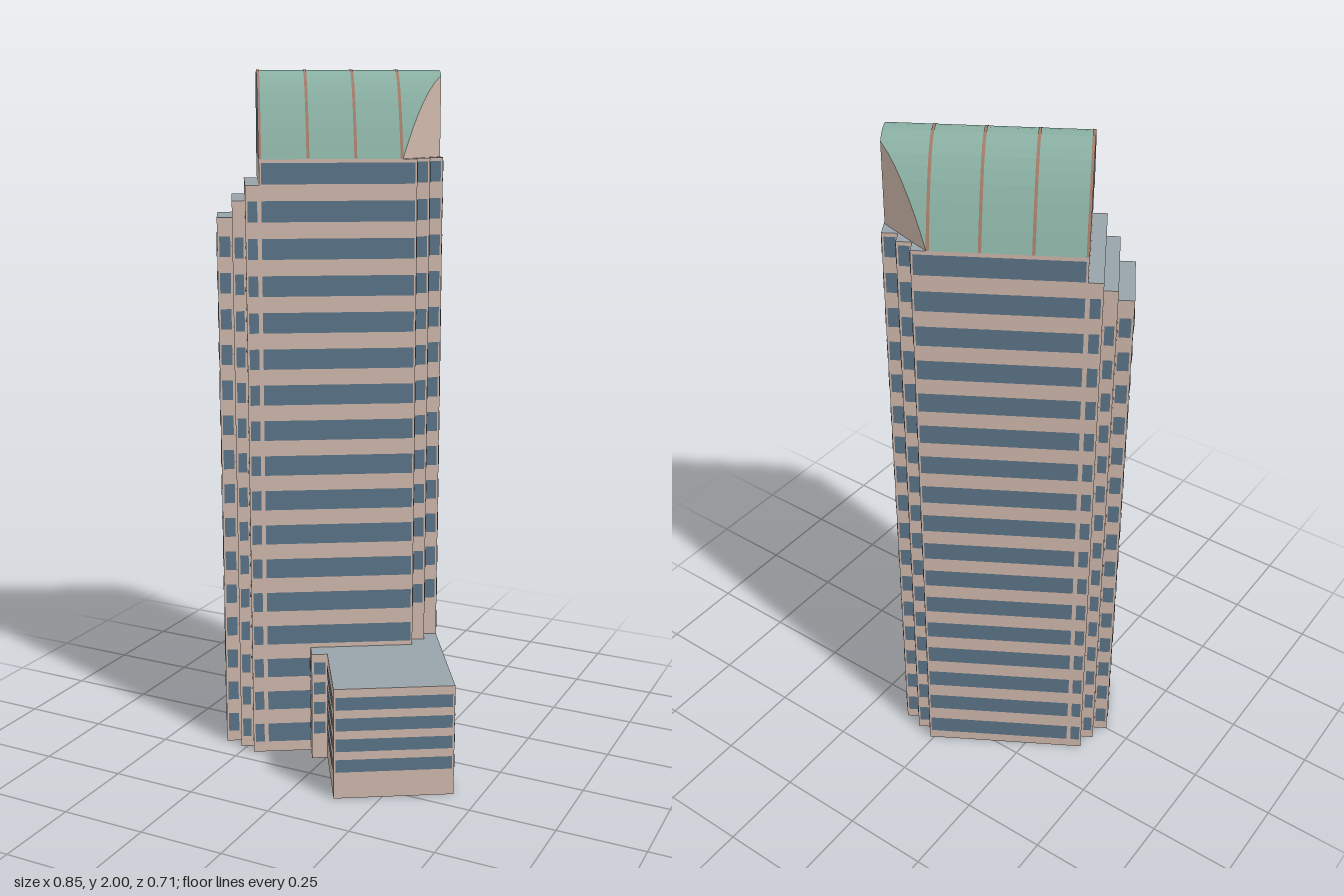
import * as THREE from 'three';

const mat = (color, flatShading = false) =>
  new THREE.MeshStandardMaterial({ color, flatShading, side: THREE.DoubleSide });
const stone = mat(0xd0b8ac), glass = mat(0x5b7488), slab = mat(0x99a3ab);
const copper = mat(0x8ab0a3, true), trim = mat(0xa27b69);

const MID = -0.117;    // centre line of the tower in z
const HALF = 0.182;    // half depth of the tower
const EAVES = 1.76, RIDGE = 2;
const GABLE = -0.248;  // x of the glazed gable

// Mesh from a list of quads, each [a, b, c, d] counter-clockwise from outside
function quadMesh(name, quads, material) {
  const pos = quads.flatMap(([a, b, c, d]) => [a, b, c, a, c, d].flat());
  const g = new THREE.BufferGeometry();
  g.setAttribute('position', new THREE.Float32BufferAttribute(pos, 3));
  g.computeVertexNormals();
  const m = new THREE.Mesh(g, material);
  m.name = name;
  return m;
}

// Upright quad between plan points p and q
const upright = (p, q, y0, y1) =>
  [[p[0], y0, p[1]], [q[0], y0, q[1]], [q[0], y1, q[1]], [p[0], y1, p[1]]];

const edges = (path, closed) => path.slice(0, closed ? undefined : -1)
  .map((p, i) => [p, path[(i + 1) % path.length]]);

// Flat roof over a plan outline
function deck(name, path, y) {
  const g = new THREE.ShapeGeometry(new THREE.Shape(path.map(([x, z]) => new THREE.Vector2(x, -z))));
  g.rotateX(-Math.PI / 2).translate(0, y, 0);
  const m = new THREE.Mesh(g, slab);
  m.name = name;
  return m;
}

// Window strip just proud of the wall from p to q, stopping short of the corners
function strip([p, q], y0, y1) {
  const dx = q[0] - p[0], dz = q[1] - p[1], len = Math.hypot(dx, dz);
  const u = [dx / len, dz / len], inset = 0.006, out = 0.002;
  const at = (b, s) => [b[0] + s * u[0] * inset - u[1] * out, b[1] + s * u[1] * inset + u[0] * out];
  return upright(at(p, 1), at(q, -1), y0, y1);
}

function tower() {
  const group = new THREE.Group();
  group.name = 'tower';
  // Half plan: stepped west end, long side, stepped east end
  const half = [[-0.367, 0.1], [-0.324, 0.1], [-0.324, 0.141], [-0.287, 0.141], [-0.287, HALF],
    [GABLE, HALF], [0.19, HALF], [0.19, 0.141], [0.231, 0.141], [0.231, 0.1], [0.273, 0.1]];
  const outline = (skip) => {
    const h = half.slice(skip);
    return [...h.map(([x, z]) => [x, MID + z]), ...h.reverse().map(([x, z]) => [x, MID - z])];
  };
  // Each level drops one of the west setbacks
  const levels = [[0, 0, 1.595], [2, 1.595, 1.645], [4, 1.645, 1.69], [5, 1.69, EAVES]];
  for (const [skip, y0, y1] of levels) {
    const path = outline(skip);
    group.add(quadMesh('towerWalls', edges(path, true).map(([p, q]) => upright(p, q, y0, y1)), stone));
    group.add(deck('setbackRoof', path, y1));
  }
  // Window bands on every face, up to the top of its setback
  const bands = [];
  for (const e of edges(outline(0), true)) {
    const x = (e[0][0] + e[1][0]) / 2, z = (e[0][1] + e[1][1]) / 2;
    const top = x < -0.325 ? 1.595 : x < -0.288 ? 1.645 : x < GABLE - 0.001 ? 1.69 : EAVES;
    const bottom = x > 0.18 && x < 0.27 && z > -0.05 ? 0.36 : 0;
    for (let i = 0; i < 17; i++) {
      const y = 0.062 + i * 0.1037;
      if (y + 0.029 < top - 0.005 && y - 0.029 > bottom) bands.push(strip(e, y - 0.029, y + 0.029));
    }
  }
  group.add(quadMesh('towerWindows', bands, glass));
  return group;
}

function vault() {
  const group = new THREE.Group();
  group.name = 'vaultedRoof';
  const side = [0.015, 0.034, 0.053, 0.075, 0.095, 0.115, 0.135, 0.15, 0.167, HALF];
  const ts = [...side.map((t) => -t).reverse(), ...side];
  const height = (t) => EAVES + (RIDGE - EAVES) * (1 - Math.max(0, (Math.abs(t) - 0.01) / (HALF - 0.01)) ** 2);
  // East end is cut back at both corners
  const endX = (t) => 0.271 - 0.121 * Math.max(0, (Math.abs(t) - 0.053) / (HALF - 0.053));
  const skin = [], end = [], gable = [], ribs = [];
  for (let i = 0; i < ts.length - 1; i++) {
    const s = ts[i], t = ts[i + 1], zs = MID + s, zt = MID + t, ys = height(s), yt = height(t);
    skin.push([[GABLE, ys, zs], [GABLE, yt, zt], [endX(t), yt, zt], [endX(s), ys, zs]]);
    end.push([[endX(t), EAVES, zt], [endX(s), EAVES, zs], [endX(s), ys, zs], [endX(t), yt, zt]]);
    gable.push([[GABLE, EAVES, zs], [GABLE, EAVES, zt], [GABLE, yt, zt], [GABLE, ys, zs]]);
    // Thin ribs lying over the skin
    const k = 1.008, ls = MID + s * k, lt = MID + t * k, e = 0.0015;
    for (const x of [GABLE + 0.003, -0.113, 0.019, 0.147]) {
      ribs.push([[x - 0.004, ys + e, ls], [x - 0.004, yt + e, lt], [x + 0.004, yt + e, lt], [x + 0.004, ys + e, ls]]);
    }
  }
  group.add(quadMesh('roofSkin', skin, copper), quadMesh('roofEndWall', end, stone),
    quadMesh('gableGlass', gable, glass), quadMesh('roofRibs', ribs, trim));
  return group;
}

function annex() {
  const group = new THREE.Group();
  group.name = 'annex';
  const top = 0.33, front = MID + HALF;
  const path = [[-0.114, front], [-0.114, 0.12], [-0.068, 0.12], [-0.068, 0.374], [0.273, 0.374], [0.273, MID + 0.1]];
  const sides = edges(path, false);
  group.add(quadMesh('annexWalls', sides.map(([p, q]) => upright(p, q, 0, top)), stone));
  // Roof follows the stepped tower corner
  group.add(deck('annexRoof', [...path, [0.231, MID + 0.1], [0.231, MID + 0.141], [0.19, MID + 0.141], [0.19, front]], top));
  const bands = [];
  for (const e of sides) {
    for (let i = 0; i < 4; i++) bands.push(strip(e, 0.08 + i * 0.0625, 0.118 + i * 0.0625));
  }
  group.add(quadMesh('annexWindows', bands, glass));
  return group;
}

export function createModel() {
  const model = new THREE.Group();
  model.name = 'officeTower';
  const block = new THREE.Group();
  block.name = 'building';
  block.rotation.y = 0.535; // the block stands askew to the axes
  block.add(tower(), vault(), annex());
  model.add(block);
  return model;
}
